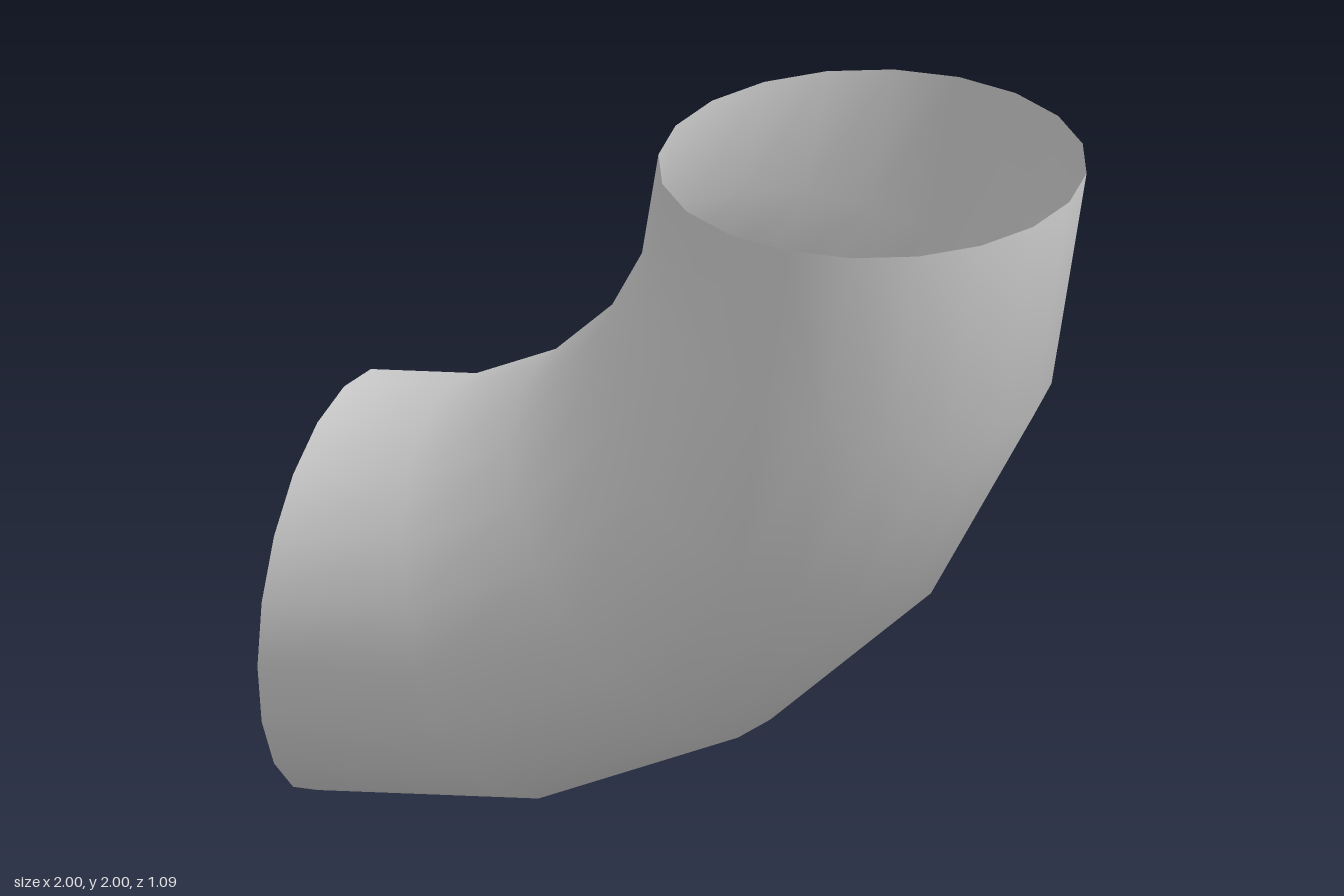
import * as THREE from 'three';

export function createModel() {
  const group = new THREE.Group();
  group.name = 'pipeElbow';

  // Open quarter bend: 20-sided section swept in five straight steps
  const tubeRadius = 0.543;
  const bendRadius = 2 - tubeRadius;
  const geometry = new THREE.TorusGeometry(bendRadius, tubeRadius, 20, 5, Math.PI / 2);
  geometry.rotateZ(-Math.PI / 2);
  geometry.translate(-1, 2, 0);

  const material = new THREE.MeshStandardMaterial({ color: 0xcccccc, side: THREE.DoubleSide });
  const elbow = new THREE.Mesh(geometry, material);
  elbow.name = 'elbowWall';
  group.add(elbow);
  return group;
}
